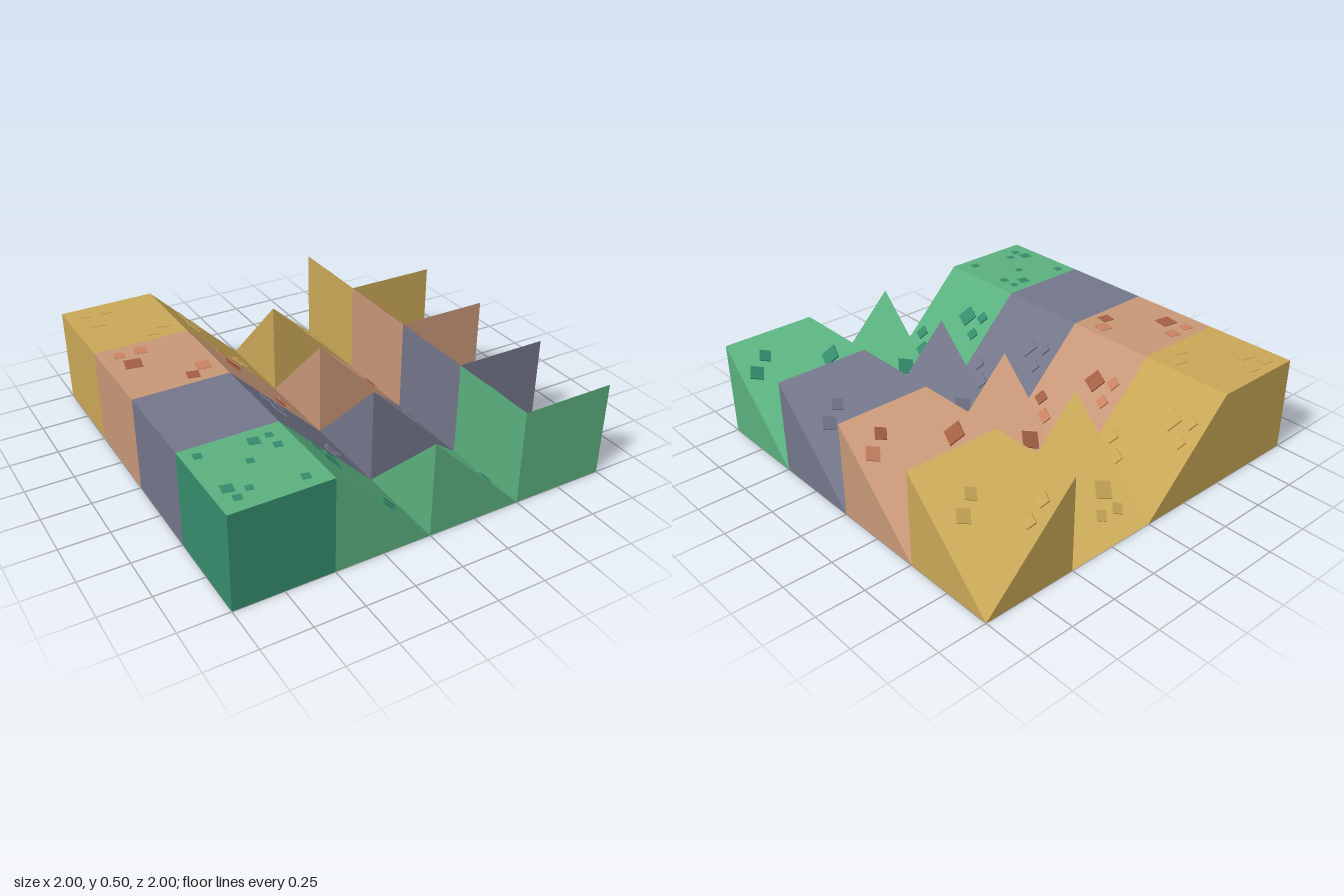
import * as THREE from 'three';

const S = 0.5; // tile size and height
const mat = (name, color) => {
  const m = new THREE.MeshStandardMaterial({ color });
  m.name = name;
  return m;
};

// Block on a square tile; heights at back-left, back-right, front-right, front-left.
// Group 0 is the top surface, group 1 the walls and underside.
function tileGeometry(heights) {
  const xz = [[0, 0], [S, 0], [S, S], [0, S]];
  const lo = xz.map(([x, z]) => new THREE.Vector3(x, 0, z));
  const hi = xz.map(([x, z], i) => new THREE.Vector3(x, heights[i], z));
  const pos = [], nor = [];
  const cross = (a, b, c) => b.clone().sub(a).cross(c.clone().sub(a));
  const tri = (a, b, c, n) => {
    const face = cross(a, b, c);
    if (face.length() < 1e-6) return;
    const normal = n || face.normalize();
    for (const p of [a, b, c]) {
      pos.push(p.x, p.y, p.z);
      nor.push(normal.x, normal.y, normal.z);
    }
  };
  // Top: two triangles creased front-left to back-right, shaded as one face
  const [a, b, c, d] = hi;
  const n = cross(d, c, b).add(cross(d, b, a)).normalize();
  tri(d, c, b, n);
  tri(d, b, a, n);
  const topCount = pos.length / 3;
  // Walls
  for (let i = 0; i < 4; i++) {
    const j = (i + 1) % 4;
    tri(lo[j], lo[i], hi[i]);
    tri(lo[j], hi[i], hi[j]);
  }
  // Underside
  tri(lo[0], lo[1], lo[2]);
  tri(lo[0], lo[2], lo[3]);
  const g = new THREE.BufferGeometry();
  g.setAttribute('position', new THREE.Float32BufferAttribute(pos, 3));
  g.setAttribute('normal', new THREE.Float32BufferAttribute(nor, 3));
  g.addGroup(0, topCount, 0);
  g.addGroup(topCount, pos.length / 3 - topCount, 1);
  return g;
}

export function createModel() {
  const model = new THREE.Group();
  model.name = 'terrainTiles';

  const sand = mat('sand', 0xc8a756);
  const clay = mat('clay', 0xc79777);
  const slate = mat('slate', 0x73768a);
  const grass = mat('grass', 0x5ab07e);
  const teal = mat('darkGrass', 0x358c6c);
  const rust = mat('rust', 0xa45f43);
  const terracotta = mat('terracotta', 0xca8261);

  // Rows run from back to front
  const rows = [
    { name: 'sand', base: sand, big: sand, small: sand },
    { name: 'clay', base: clay, big: rust, small: terracotta },
    { name: 'slate', base: slate, big: slate, small: slate },
    { name: 'grass', base: grass, big: teal, small: grass },
  ];
  const columns = [
    { name: 'Block', heights: [S, S, S, S] },
    { name: 'Ramp', heights: [S, 0, 0, S] },
    { name: 'OuterCorner', heights: [0, 0, 0, S] },
    { name: 'InnerCorner', heights: [S, 0, S, S] },
  ];

  // Thin stone lying on the flat top, the side slope or the back slope of a tile
  const UP = new THREE.Vector3(0, 1, 0);
  const slopes = {
    flat: { y: () => S, tilt: new THREE.Euler(), spin: -0.2 },
    side: { y: (u) => S - u, tilt: new THREE.Euler(0, 0, -Math.PI / 4), spin: -0.45 },
    back: { y: (u, v) => v, tilt: new THREE.Euler(-Math.PI / 4, 0, 0), spin: -0.45 },
  };
  function stone(tile, slope, u, v, size, material, thick = 0.016) {
    const s = slopes[slope];
    const m = new THREE.Mesh(new THREE.BoxGeometry(size, thick, size), material);
    m.name = 'stone';
    m.position.set(u, s.y(u, v), v);
    m.quaternion.setFromEuler(s.tilt)
      .multiply(new THREE.Quaternion().setFromAxisAngle(UP, s.spin));
    tile.add(m);
  }

  const BIG = 0.085, SMALL = 0.052, MID = 0.062;
  rows.forEach((row, r) => {
    const isGrass = row.base === grass;
    const plain = row.base === sand || row.base === slate;
    columns.forEach((col, c) => {
      const tile = new THREE.Group();
      tile.name = row.name + col.name;
      tile.position.set(-1 + c * S, 0, -1 + r * S);
      const walls = isGrass && c === 0 ? teal : row.base;
      const ground = new THREE.Mesh(tileGeometry(col.heights), [row.base, walls]);
      ground.name = 'ground';
      tile.add(ground);
      model.add(tile);

      const { big, small } = row;
      if (c === 0 && isGrass) {
        // Flat tufts scattered on the grass block
        [[0.07, 0.07, 0.04], [0.33, 0.085, 0.055], [0.41, 0.075, 0.035],
          [0.41, 0.16, 0.04], [0.25, 0.21, 0.035], [0.08, 0.34, 0.055],
          [0.16, 0.38, 0.035], [0.09, 0.415, 0.04], [0.4, 0.425, 0.04],
        ].forEach(([u, v, s]) => stone(tile, 'flat', u, v, s, teal, 0.004));
      } else if (c === 0 && row.base !== slate) {
        stone(tile, 'flat', 0.1, 0.08, SMALL, small, 0.006);
        stone(tile, 'flat', 0.21, 0.08, MID, small, 0.006);
        stone(tile, 'flat', 0.13, 0.19, BIG, big, 0.006);
        stone(tile, 'flat', 0.42, 0.37, MID + 0.01, small, 0.006);
        stone(tile, 'flat', 0.34, 0.43, MID, big, 0.006);
      } else if (c === 1) {
        const top = isGrass ? teal : small;
        stone(tile, 'side', 0.14, 0.085, SMALL, top);
        stone(tile, 'side', 0.215, 0.085, SMALL, top);
        stone(tile, 'side', 0.16, 0.19, BIG, big);
        stone(tile, 'side', 0.365, 0.355, MID + 0.01, isGrass ? teal : small);
        stone(tile, 'side', 0.305, 0.43, MID - 0.005, big);
      } else if (c === 2) {
        stone(tile, 'back', 0.12, 0.095, SMALL, small);
        stone(tile, 'back', 0.22, 0.1, SMALL, small);
        stone(tile, 'back', plain ? 0.14 : 0.115, plain ? 0.17 : 0.185, BIG, big);
        const [du, dv] = plain ? [-0.063, -0.04] : [0, 0];
        stone(tile, 'side', 0.403 + du, 0.36 + dv, MID + 0.01, small);
        stone(tile, 'side', 0.345 + du, 0.43 + dv, MID - 0.005, big);
      } else if (c === 3) {
        const top = isGrass ? teal : small;
        if (plain) {
          stone(tile, 'side', 0.11, 0.08, SMALL, small);
          stone(tile, 'side', 0.185, 0.08, SMALL, small);
        } else {
          stone(tile, 'side', 0.138, 0.085, SMALL, top);
          stone(tile, 'side', 0.082, 0.19, BIG, big);
        }
        const [du, dv] = plain ? [-0.056, -0.062] : [0, 0];
        stone(tile, 'back', 0.416 + du, 0.367 + dv, MID + 0.005, top);
        stone(tile, 'back', 0.333 + du, 0.417 + dv, MID - 0.005, big);
      }
    });
  });
  return model;
}
